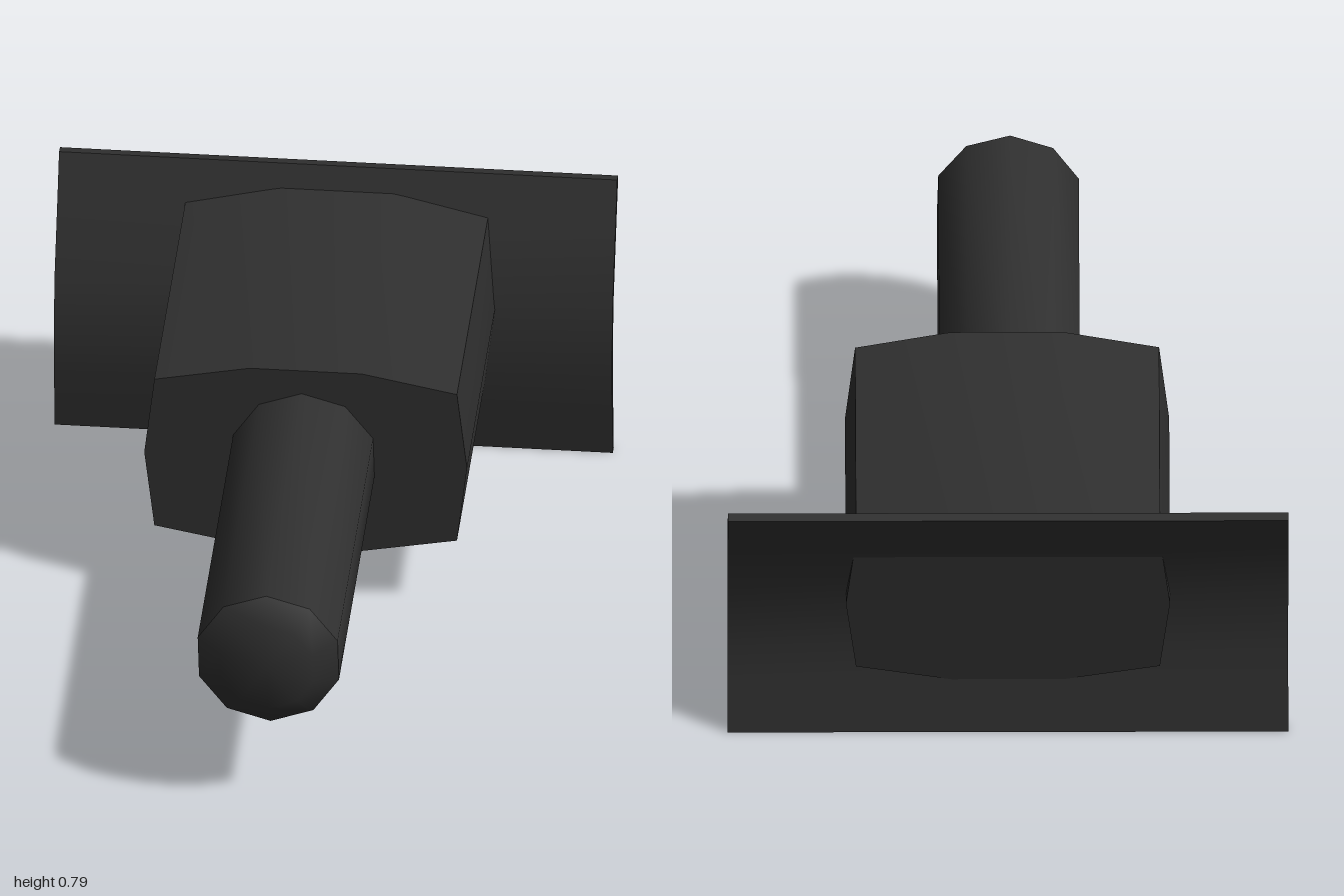
import * as THREE from 'three';
import { toCreasedNormals } from 'three/addons/utils/BufferGeometryUtils.js';

const v2 = (list) => list.map(([a, b]) => new THREE.Vector2(a, b));

export function createModel() {
  const group = new THREE.Group();
  const charcoal = new THREE.MeshStandardMaterial({ color: 0x303030 });
  charcoal.name = 'charcoal';

  const add = (name, geometry, crease) => {
    const mesh = new THREE.Mesh(toCreasedNormals(geometry, crease), charcoal);
    mesh.name = name;
    group.add(mesh);
  };

  // Ten-sided shaft with a chamfered tip, pointing forward
  const shaft = new THREE.LatheGeometry(
    v2([[0, -0.1], [0.197, -0.1], [0.197, 0.955], [0.13, 1], [0, 1]]), 10, 0.03);
  shaft.rotateX(Math.PI / 2).translate(-0.005, 0.453, 0);
  add('shaft', shaft, 0.7);

  // Block with slightly bulged sides; its back face slants with the plate
  const outline = v2([
    [0.432, 0.44], [0.405, 0.672], [0.15, 0.722], [-0.15, 0.722], [-0.405, 0.672],
    [-0.432, 0.44], [-0.405, 0.21], [-0.15, 0.162], [0.15, 0.162], [0.405, 0.21],
  ]);
  const block = new THREE.ExtrudeGeometry(new THREE.Shape(outline), { depth: 1, bevelEnabled: false });
  const p = block.attributes.position;
  for (let i = 0; i < p.count; i++) {
    const back = -0.858 - (p.getY(i) - 0.162) * 0.154;
    p.setZ(i, p.getZ(i) > 0.5 ? -0.05 : back);
  }
  add('block', block, 0.5);

  // Curved back plate: side profile (depth behind centre, height) swept across x
  const profile = v2([
    [0.97, 0.785], [0.928, 0.675], [0.84, 0.465], [0.82, 0.27], [0.83, 0.16], [0.847, 0],
    [0.873, 0], [0.856, 0.16], [0.845, 0.265], [0.864, 0.46], [0.952, 0.67], [1, 0.78],
  ]);
  const plate = new THREE.ExtrudeGeometry(new THREE.Shape(profile), { depth: 1.494, bevelEnabled: false });
  plate.translate(0, 0, -0.747).rotateY(Math.PI / 2);
  add('backPlate', plate, 0.5);

  return group;
}
